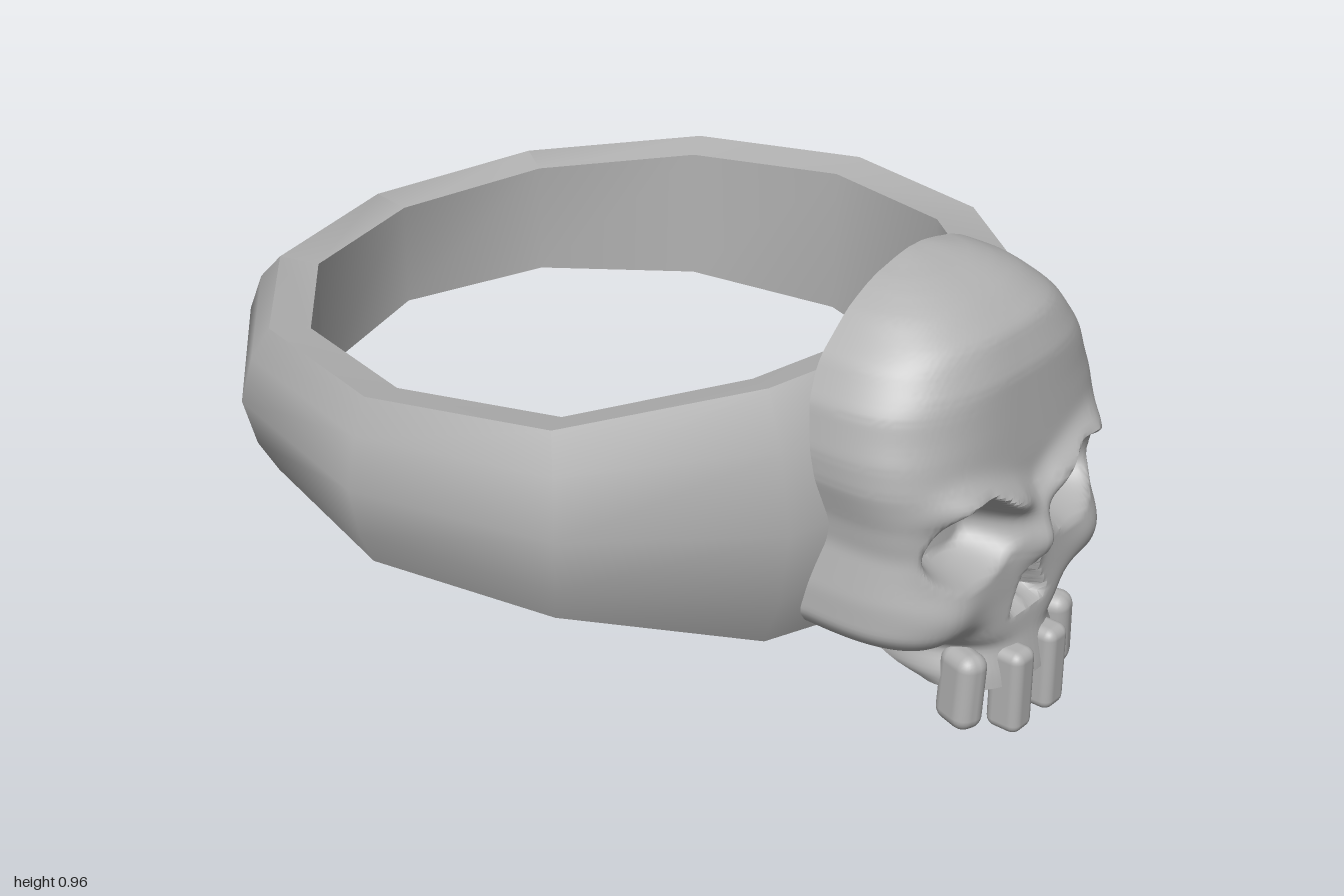
import * as THREE from 'three';
import { toCreasedNormals } from 'three/addons/utils/BufferGeometryUtils.js';
import { RoundedBoxGeometry } from 'three/addons/geometries/RoundedBoxGeometry.js';

const metal = new THREE.MeshStandardMaterial({ color: 0xb2b2b2 });
metal.name = 'grey metal';
const smooth = THREE.MathUtils.smoothstep;
const bell = (d, width) => Math.exp(-((d / width) ** 2));

// Surface through rows of points, with soft normals except at sharp edges
function skin(rows, crease) {
  const n = rows[0].length, pos = rows.flat(2), idx = [];
  for (let j = 0; j < rows.length - 1; j++) {
    for (let i = 0; i < n - 1; i++) {
      const a = j * n + i, b = a + 1, c = b + n, d = a + n;
      idx.push(a, b, c, a, c, d);
    }
  }
  const g = new THREE.BufferGeometry();
  g.setAttribute('position', new THREE.Float32BufferAttribute(pos, 3));
  g.setIndex(idx);
  return toCreasedNormals(g, crease);
}

// Softened lookup in a table of [y, value] pairs with rising y
function lookup(table, y) {
  const at = (v) => {
    if (v <= table[0][0]) return table[0][1];
    for (let k = 1; k < table.length; k++) {
      const [y0, a] = table[k - 1], [y1, b] = table[k];
      if (v <= y1) return a + ((b - a) * (v - y0)) / (y1 - y0);
    }
    return table[table.length - 1][1];
  };
  const e = Math.min(0.012, Math.max(0, 0.96 - y));
  return (at(y - e) + at(y) * 2 + at(y + e)) / 4;
}

// Half width, front depth, back edge and squareness of the skull by height
const WIDTH = [[0.11, 0.17], [0.14, 0.195], [0.2, 0.2], [0.225, 0.26], [0.25, 0.335], [0.29, 0.365],
  [0.36, 0.36], [0.46, 0.335], [0.52, 0.34], [0.6, 0.36], [0.66, 0.36], [0.75, 0.34], [0.83, 0.29],
  [0.9, 0.21], [0.94, 0.13], [0.955, 0.06], [0.96, 0.02]];
const FRONT = [[0.11, 0.975], [0.2, 0.955], [0.3, 0.945], [0.5, 0.935], [0.6, 0.93], [0.7, 0.92],
  [0.78, 0.912], [0.86, 0.88], [0.91, 0.81], [0.94, 0.74], [0.955, 0.67], [0.96, 0.635]];
const BACK = [[0.11, 0.84], [0.14, 0.77], [0.2, 0.64], [0.3, 0.65], [0.5, 0.695], [0.8, 0.63], [0.96, 0.63]];
const SQUARE = [[0.11, 2.2], [0.2, 2.4], [0.28, 3.6], [0.55, 3.6], [0.7, 3], [0.96, 2.6]];

// Relief of the face: sockets, brows, nose and cheeks
function relief(x, y) {
  const ax = Math.abs(x);
  const lid = y > 0.455 ? 0.062 + 0.05 * smooth(ax, 0.04, 0.17) : 0.08;
  const r = Math.hypot((ax - 0.165) / 0.125, (y - 0.455) / lid);
  let z = -0.1 * (1 - smooth(r, 0.5, 1.05));
  const browY = 0.5 + 0.065 * Math.sin(Math.min(ax / 0.3, 1) * 2);
  z += 0.04 * bell(y - browY, 0.035) * (1 - smooth(ax, 0.2, 0.33)) * smooth(r, 0.85, 1.15)
    * (0.5 + 0.5 * smooth(ax, 0, 0.07));
  z += 0.055 * bell(x, 0.04) * bell(y - 0.425, 0.065);
  z += 0.02 * bell(ax - 0.25, 0.08) * bell(y - 0.33, 0.05);
  z -= 0.035 * bell(ax - 0.2, 0.06) * bell(y - 0.23, 0.04);
  const half = Math.max(0.001, 0.062 * (0.385 - y) / 0.12);
  const hole = (1 - smooth(ax / half, 0.55, 1.1)) * smooth(y, 0.25, 0.275) * (1 - smooth(y, 0.36, 0.385));
  z -= 0.07 * hole * (1 - 0.45 * bell(x, 0.012) * (1 - smooth(y, 0.26, 0.3)));
  return z;
}

function skullGeometry() {
  const rows = [], N = 104, M = 110;
  const section = (y, shrink) => {
    const w = lookup(WIDTH, y), zf = lookup(FRONT, y), zb = lookup(BACK, y), n = lookup(SQUARE, y);
    const row = [];
    for (let i = 0; i <= N; i++) {
      // walk along three sides of a square, then round its corners
      const s = -1.6 + (3.2 * i) / N, k = Math.abs(s);
      let a = Math.sign(s) * Math.min(k, 1), b = k < 1 ? 1 : Math.max(0, 1 - (k - 1) / 0.6);
      const len = (Math.abs(a) ** n + b ** n) ** (1 / n);
      a /= len;
      b /= len;
      const x = a * w;
      const z = zb + (zf - zb) * b + relief(x, y) * smooth(b, 0.1, 0.8);
      row.push([x * shrink, y, shrink ? z : (zb + zf) / 2]);
    }
    row.push(row[0]);
    return row;
  };
  rows.push(section(0.11, 0));
  for (let j = 0; j <= M; j++) rows.push(section(0.11 + 0.85 * Math.sin((j / M) * 1.25) / Math.sin(1.25), 1));
  rows.push(section(0.96, 0));
  return skin(rows, 0.95);
}

// Twelve-sided band, tall at the front and slim at the back
function bandGeometry() {
  const heights = [0.31, 0.285, 0.21, 0.188, 0.168, 0.142, 0.13];
  const profile = [[0.715, 0.92], [0.715, -0.92], [0.803, -1], [0.837, -0.6], [0.86, 0],
    [0.837, 0.6], [0.803, 1], [0.715, 0.92]];
  const rows = profile.map(([r, h]) => {
    const row = [];
    for (let i = 0; i <= 12; i++) {
      const a = (i % 12) * Math.PI / 6, k = Math.min(i, 12 - i);
      const rz = r + 0.035 * smooth(r, 0.803, 0.86);
      row.push([r * Math.sin(a), 0.5 + h * heights[k], -0.105 + rz * Math.cos(a)]);
    }
    return row;
  });
  return skin(rows, 0.95);
}

export function createModel() {
  const ring = new THREE.Group();
  ring.name = 'skullRing';
  const add = (name, geometry, parent = ring) => {
    const mesh = new THREE.Mesh(geometry, metal);
    mesh.name = name;
    parent.add(mesh);
    return mesh;
  };
  add('band', bandGeometry());
  add('skull', skullGeometry());

  // Four upper teeth, mirrored about the middle
  const teeth = new THREE.Group();
  teeth.name = 'teeth';
  ring.add(teeth);
  for (const side of [-1, 1]) {
    const inner = add('innerTooth', new RoundedBoxGeometry(0.068, 0.19, 0.08, 3, 0.022), teeth);
    inner.position.set(side * 0.058, 0.095, 0.955);
    const outer = add('outerTooth', new RoundedBoxGeometry(0.07, 0.17, 0.1, 3, 0.03), teeth);
    outer.position.set(side * 0.153, 0.118, 0.9);
    outer.rotation.set(0, side * 0.3, side * 0.06);
  }
  return ring;
}
